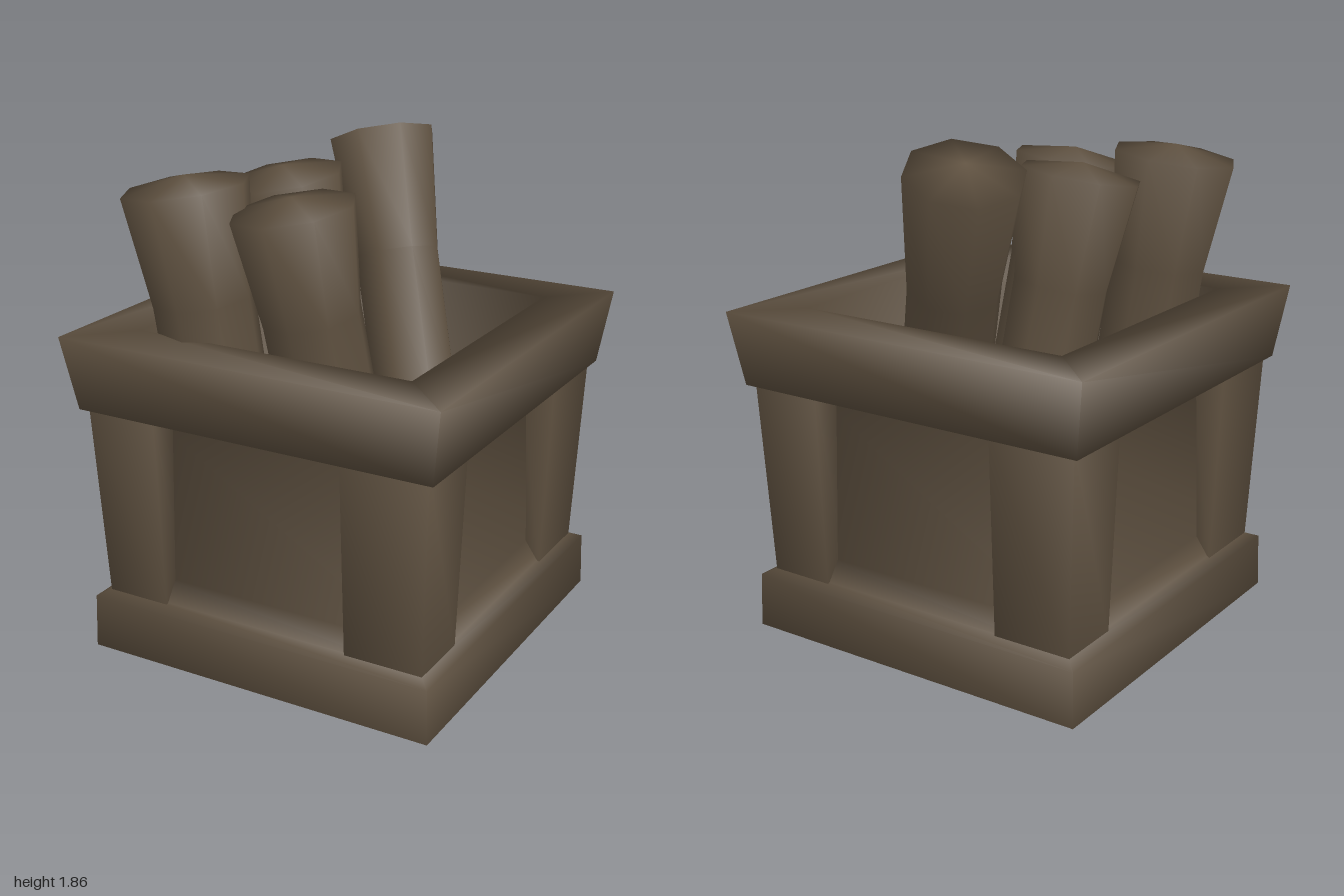
import * as THREE from 'three';
import { mergeVertices } from 'three/addons/utils/BufferGeometryUtils.js';

const wood = new THREE.MeshStandardMaterial({ color: 0x5f5140 });
wood.name = 'dark brown wood';

const TURN = -0.4636; // the crate stands turned about y

// Weld corners so shading runs softly over the edges
function soften(geometry) {
  geometry.deleteAttribute('normal');
  geometry.deleteAttribute('uv');
  const welded = mergeVertices(geometry, 1e-4);
  welded.computeVertexNormals();
  return welded;
}

function addMesh(parent, name, geometry) {
  const mesh = new THREE.Mesh(geometry, wood);
  mesh.name = name;
  parent.add(mesh);
  return mesh;
}

// Square body turned from a profile of [half width, height]
function squareLathe(profile) {
  const points = profile.map(([half, y]) => new THREE.Vector2(half * Math.SQRT2, y));
  return soften(new THREE.LatheGeometry(points, 4, Math.PI / 4));
}

// Corner post wrapped around the wall's corner, widening outwards to the top
function postGeometry() {
  const outer = 0.648, inner = 0.545, bottom = 0.2, height = 0.77;
  const section = new THREE.Shape([
    [outer, outer], [0.348, outer], [0.348, inner], [inner, inner], [inner, 0.398], [outer, 0.398],
  ].map(([x, z]) => new THREE.Vector2(x, z)));
  const geometry = new THREE.ExtrudeGeometry(section, { depth: height, bevelEnabled: false });
  geometry.rotateX(Math.PI / 2).translate(0, bottom + height, 0);
  const p = geometry.attributes.position;
  for (let i = 0; i < p.count; i++) {
    if (p.getY(i) < 0.5) continue;
    if (p.getX(i) > 0.6) p.setX(i, outer + 0.032);
    if (p.getZ(i) > 0.6) p.setZ(i, outer + 0.032);
  }
  return soften(geometry);
}

// Eight-sided log bent along base, middle and top, flared to a shallow domed end
function logGeometry(base, middle, top, radius) {
  const curve = new THREE.QuadraticBezierCurve3(
    ...[base, middle, top].map((v) => new THREE.Vector3(...v)));
  const up = new THREE.Vector3(0, 1, 0);
  const profile = [[0, 0], [0.82, 0], [0.79, 0.35], [0.8, 0.7], [1, 1], [0, 1.04]];
  const geometry = new THREE.LatheGeometry(
    profile.map(([r, t]) => new THREE.Vector2(r * radius, t)), 8, Math.PI / 8);
  const p = geometry.attributes.position;
  const v = new THREE.Vector3();
  const q = new THREE.Quaternion();
  for (let i = 0; i < p.count; i++) {
    const t = p.getY(i);
    const along = Math.min(t, 1);
    q.setFromUnitVectors(up, curve.getTangent(along));
    v.set(p.getX(i), t - along, p.getZ(i)).applyQuaternion(q).add(curve.getPoint(along));
    p.setXYZ(i, v.x, v.y, v.z);
  }
  return soften(geometry);
}

export function createModel() {
  const model = new THREE.Group();
  model.name = 'crateOfLogs';

  const crate = new THREE.Group();
  crate.name = 'crate';
  crate.rotation.y = TURN;
  model.add(crate);

  // Plinth, recessed walls, flared rim and hollow inside in one profile
  addMesh(crate, 'crateBody', squareLathe([
    [0, 0.04], [0.61, 0.04], [0.645, 0], [0.695, 0], [0.69, 0.205], [0.64, 0.228],
    [0.59, 0.3], [0.565, 0.95], [0.704, 0.95], [0.745, 1.225],
    [0.54, 1.225], [0.525, 0.25], [0, 0.25],
  ]));

  // Four corner posts
  const post = postGeometry();
  for (let i = 0; i < 4; i++) {
    addMesh(crate, 'cornerPost' + (i + 1), post).rotation.y = (i * Math.PI) / 2;
  }

  // Logs leaning in the crate
  const logs = [
    ['tallLog', [0.34, 0.26, 0.08], [0.21, 1.1, -0.26], [0.1, 1.775, -0.54], 0.21],
    ['leftLog', [-0.36, 0.26, 0.22], [-0.47, 1.1, 0.2], [-0.555, 1.735, 0.19], 0.232],
    ['frontLog', [0.08, 0.26, 0.26], [-0.08, 1.1, 0.31], [-0.17, 1.695, 0.335], 0.226],
    ['backLog', [0.0, 0.26, -0.2], [-0.14, 1.1, -0.14], [-0.24, 1.71, -0.11], 0.222],
  ];
  for (const [name, base, middle, top, radius] of logs) {
    addMesh(model, name, logGeometry(base, middle, top, radius));
  }

  return model;
}
